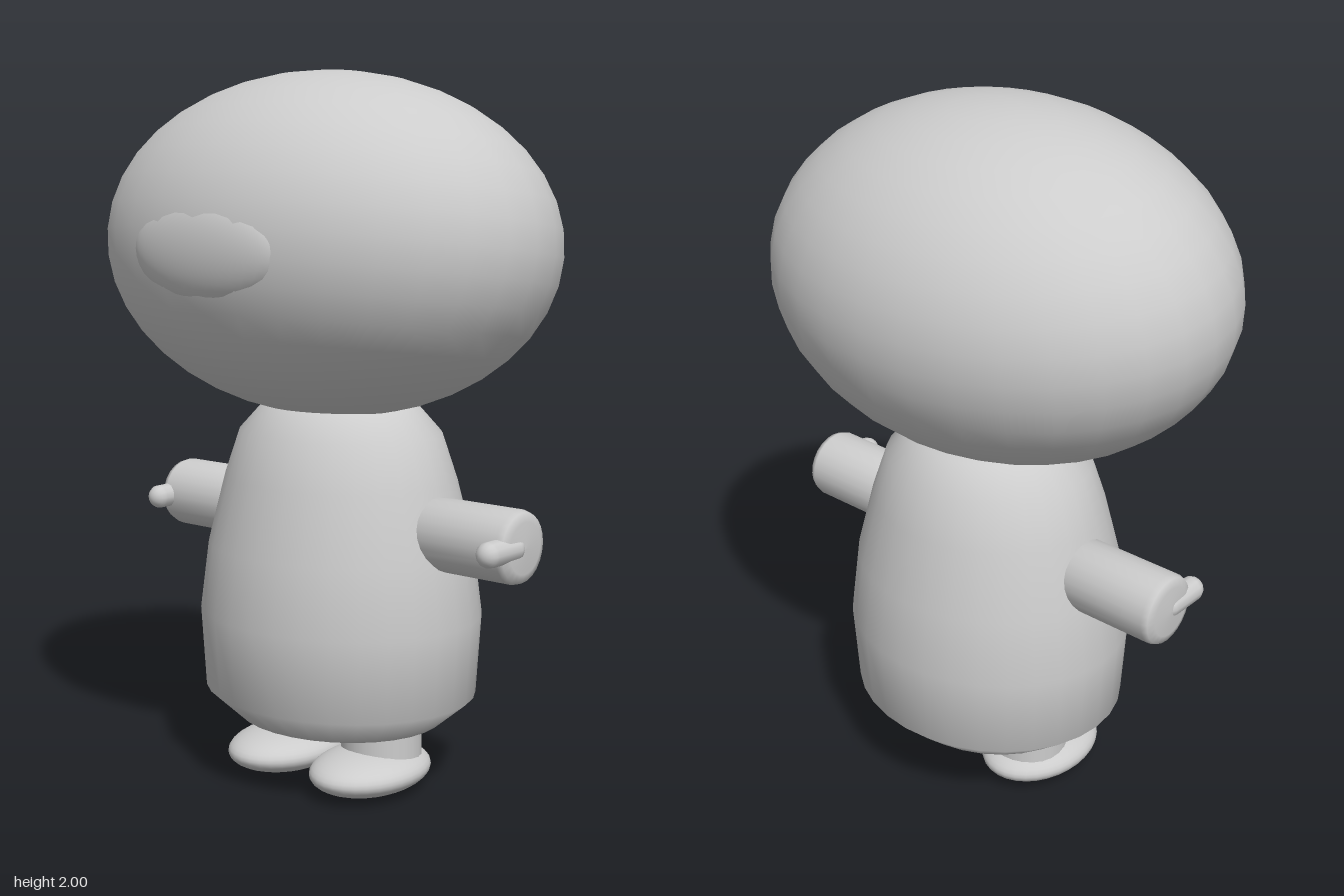
import * as THREE from 'three';

export function createModel() {
  const model = new THREE.Group();
  const grey = new THREE.MeshStandardMaterial({ color: 0xcccccc });
  grey.name = 'plain grey';

  const add = (name, geometry, x, y, z) => {
    const mesh = new THREE.Mesh(geometry, grey);
    mesh.name = name;
    mesh.position.set(x, y, z);
    model.add(mesh);
    return mesh;
  };
  const ellipsoid = (rx, ry, rz) => new THREE.SphereGeometry(1, 32, 20).scale(rx, ry, rz);
  const lathe = (points, sides) =>
    new THREE.LatheGeometry(points.map(([r, y]) => new THREE.Vector2(r, y)), sides);

  // Wide egg-shaped head, tipped slightly back, with a shallow muzzle
  add('head', ellipsoid(0.69, 0.47, 0.53), 0, 1.53, 0).rotation.x = -0.12;
  add('muzzle', ellipsoid(0.26, 0.14, 0.065), 0, 1.53, 0.47);

  // Pear-shaped body, a little flatter front to back
  const body = lathe([
    [0, 0.155], [0.16, 0.165], [0.31, 0.19], [0.405, 0.27], [0.42, 0.5], [0.395, 0.69],
    [0.345, 0.88], [0.3, 1.01], [0.23, 1.085], [0.12, 1.15], [0, 1.17],
  ], 32).scale(1, 1, 0.89);
  add('body', body, 0, 0, -0.05);

  for (const [side, s] of [['left', 1], ['right', -1]]) {
    // Stubby straight arm with a softly rounded end
    const arm = lathe([[0, 0], [0.1, 0], [0.1, 0.41], [0.094, 0.427], [0.07, 0.435], [0, 0.438]], 24);
    add(side + 'Arm', arm, s * 0.2, 0.76, -0.05).rotation.z = -s * Math.PI / 2;

    // Small thumb pointing forward
    const thumb = new THREE.CapsuleGeometry(0.035, 0.1, 6, 12).rotateX(Math.PI / 2);
    add(side + 'Thumb', thumb, s * 0.61, 0.76, 0.025);

    // Short leg and flat oval foot
    add(side + 'Leg', new THREE.CylinderGeometry(0.115, 0.115, 0.19, 24), s * 0.155, 0.165, -0.05);
    add(side + 'Foot', ellipsoid(0.15, 0.063, 0.2), s * 0.157, 0.068, 0);
  }
  return model;
}
